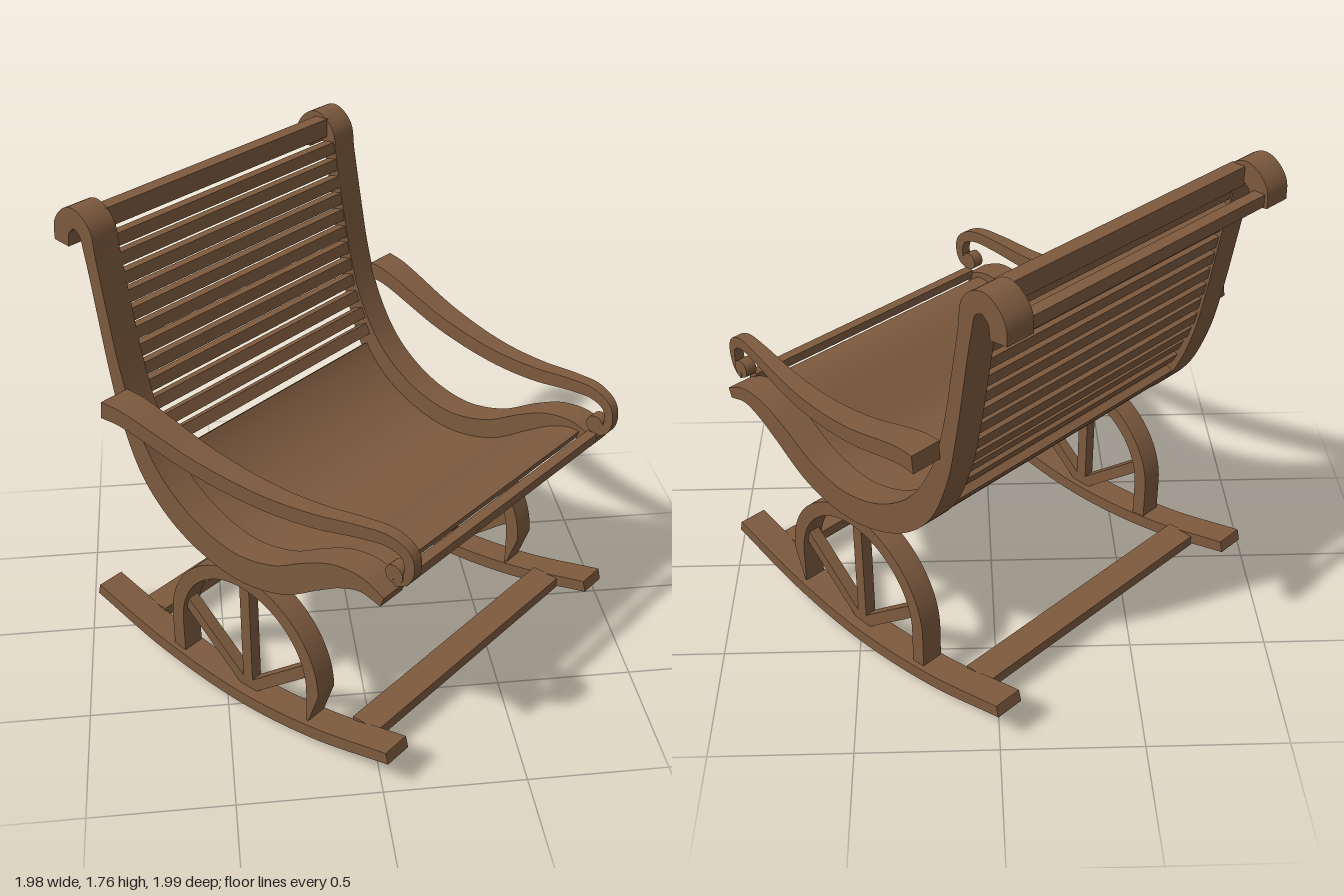
import * as THREE from 'three';
import { toCreasedNormals } from 'three/addons/utils/BufferGeometryUtils.js';

// Side profiles as [forward, height, thickness]
const RAIL = [
  [-0.70, 1.615, 0.07], [-0.69, 1.68, 0.075], [-0.635, 1.722, 0.075], [-0.58, 1.69, 0.065],
  [-0.56, 1.6, 0.055], [-0.525, 1.4, 0.055], [-0.488, 1.2, 0.06], [-0.437, 1.01, 0.075],
  [-0.345, 0.83, 0.1], [-0.23, 0.72, 0.11], [-0.09, 0.65, 0.11], [0.07, 0.622, 0.11],
  [0.25, 0.658, 0.11], [0.41, 0.75, 0.1], [0.51, 0.80, 0.085], [0.61, 0.818, 0.06], [0.70, 0.79, 0.04],
];
const ARM = [
  [-0.44, 1.11, 0.065], [-0.36, 1.1, 0.062], [-0.06, 1.005, 0.06], [0.2, 0.962, 0.057],
  [0.4, 0.962, 0.055], [0.58, 0.985, 0.048], [0.68, 0.987, 0.045], [0.742, 0.955, 0.04],
  [0.755, 0.9, 0.035], [0.738, 0.855, 0.03], [0.70, 0.835, 0.025],
];
const ROCKER = [
  [-0.70, 0.15, 0.045], [-0.35, 0.062, 0.05], [0.03, 0.025, 0.05], [0.38, 0.057, 0.05], [0.73, 0.142, 0.045],
];
const RAIL_X = 0.615, RAIL_W = 0.11;
const ARC_Z = 0.05, ARC_Y = 0.215, ARC_R = 0.358;

const sample = (pts, n) =>
  new THREE.CatmullRomCurve3(pts.map((p) => new THREE.Vector3(...p)), false, 'centripetal').getPoints(n);

// Turns a shape in the (z, y) plane into a solid of the given width across x
function sideSolid(shape, width) {
  const geo = new THREE.ExtrudeGeometry(shape, { depth: width, bevelEnabled: false, curveSegments: 40 });
  geo.translate(0, 0, -width / 2);
  geo.rotateY(-Math.PI / 2);
  return geo;
}

// Curved bar following sampled points; lo and hi give its two faces from the thickness
function ribbon(pts, width, lo = (t) => -t / 2, hi = (t) => t / 2) {
  const a = [], b = [];
  pts.forEach((p, i) => {
    const q = pts[Math.max(i - 1, 0)], r = pts[Math.min(i + 1, pts.length - 1)];
    const len = Math.hypot(r.x - q.x, r.y - q.y);
    const nx = -(r.y - q.y) / len, ny = (r.x - q.x) / len;
    a.push(new THREE.Vector2(p.x + nx * lo(p.z), p.y + ny * lo(p.z)));
    b.push(new THREE.Vector2(p.x + nx * hi(p.z), p.y + ny * hi(p.z)));
  });
  return sideSolid(new THREE.Shape([...a, ...b.reverse()]), width);
}

export function createModel() {
  const root = new THREE.Group();
  const chair = new THREE.Group();
  chair.name = 'rockingChair';
  chair.rotation.y = 0.754;
  root.add(chair);

  const wood = new THREE.MeshStandardMaterial({ color: 0x7d5a3e });
  wood.name = 'brown wood';

  function add(name, geo, x = 0, y = 0, z = 0, tilt = 0) {
    const mesh = new THREE.Mesh(geo, wood);
    mesh.name = name;
    mesh.position.set(x, y, z);
    mesh.rotation.x = tilt;
    chair.add(mesh);
  }
  const smooth = (geo) => toCreasedNormals(geo, 0.6);
  const box = (w, h, d) => new THREE.BoxGeometry(w, h, d);

  const rail = sample(RAIL, 120);
  const arm = sample(ARM, 80);
  const rocker = sample(ROCKER, 32);

  // Arched rim with straight legs standing on the rocker
  const rim = new THREE.Shape();
  const inR = ARC_R - 0.055, foot = 0.06;
  rim.moveTo(ARC_Z + ARC_R, foot);
  rim.absarc(ARC_Z, ARC_Y, ARC_R, 0, Math.PI, false);
  rim.lineTo(ARC_Z - ARC_R, foot);
  rim.lineTo(ARC_Z - inR, foot);
  rim.absarc(ARC_Z, ARC_Y, inR, Math.PI, 0, true);
  rim.lineTo(ARC_Z + inR, foot);

  for (const side of [1, -1]) {
    const label = side > 0 ? 'left' : 'right';
    add(label + 'SideRail', smooth(ribbon(rail, RAIL_W)), side * RAIL_X);
    add(label + 'Rocker', smooth(ribbon(rocker, RAIL_W)), side * RAIL_X);
    add(label + 'Arch', smooth(sideSolid(rim, 0.085)), side * 0.607);

    // Three spokes fanning out from the rocker
    for (const angle of [-0.88, 0, 0.88]) {
      const len = angle ? 0.42 : 0.5;
      const spoke = box(0.045, len, 0.045);
      spoke.translate(0, len / 2, 0);
      add(label + 'Spoke', spoke, side * 0.607, 0.045, ARC_Z, angle);
    }

    // Armrest, splayed outward and wider toward the back
    const geo = ribbon(arm, 1);
    const pos = geo.attributes.position;
    for (let i = 0; i < pos.count; i++) {
      const k = (pos.getZ(i) + 0.44) / 1.2;
      const inner = 0.665 - 0.1 * k, outer = 0.785 - 0.18 * k;
      pos.setX(i, side * (inner + outer) / 2 + pos.getX(i) * (outer - inner));
    }
    add(label + 'Armrest', smooth(geo));
    const knob = new THREE.CylinderGeometry(0.035, 0.035, 0.045, 20);
    knob.rotateZ(Math.PI / 2);
    add(label + 'ArmScroll', knob, side * 0.59, 0.867, 0.70);
  }

  // Curved seat panel along the lower edge of the rails
  const seatLine = rail.filter((p) => p.y < 0.87 && p.x < 0.645);
  add('seatPanel', smooth(ribbon(seatLine, 1.13, (t) => -t / 2 + 0.003, (t) => -t / 2 + 0.033)));

  // Back slats following the slope of the rails
  const back = rail.filter((p) => p.x > -0.575 && p.x < -0.2 && p.y < 1.68);
  for (let i = 0; i < 12; i++) {
    const y = 1.63 - 0.0665 * i;
    const j = Math.max(back.findIndex((p) => p.y <= y), 1);
    const p = back[j], q = back[j - 1];
    add('backSlat', box(1.13, 0.045, 0.045), 0, y, p.x, Math.atan2(p.x - q.x, p.y - q.y) - Math.PI);
  }
  add('topSlat', box(1.13, 0.07, 0.055), 0, 1.705, -0.605);

  // Cross bars
  add('scrollBar', box(1.13, 0.045, 0.045), 0, 1.645, -0.70);
  add('frontSeatBar', box(1.13, 0.035, 0.04), 0, 0.817, 0.695);
  add('frontStretcher', box(1.13, 0.042, 0.11), 0, 0.1, 0.55);
  add('rearStretcher', box(1.13, 0.042, 0.11), 0, 0.098, -0.5);

  return root;
}
